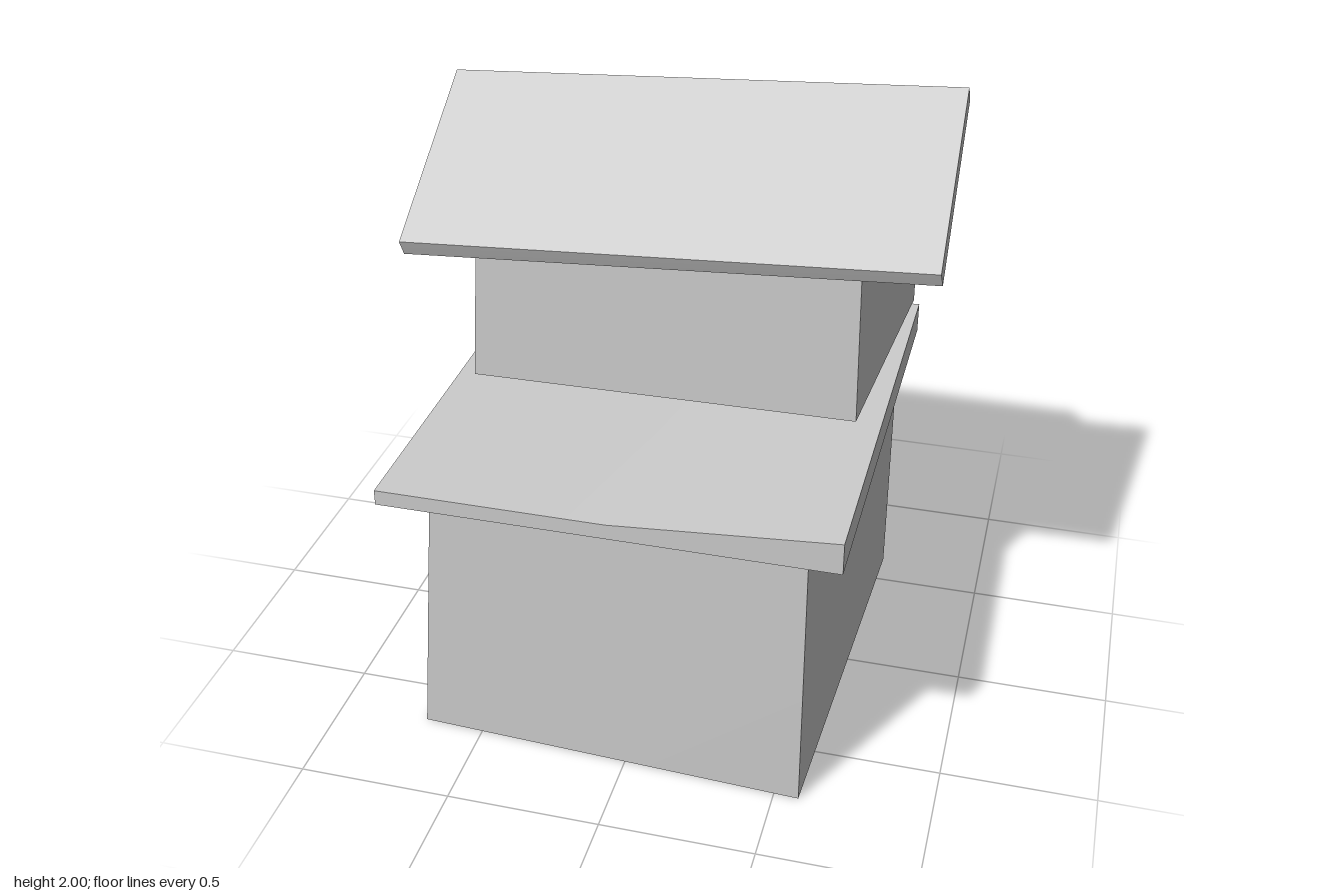
import * as THREE from 'three';
import { toCreasedNormals } from 'three/addons/utils/BufferGeometryUtils.js';

const material = new THREE.MeshStandardMaterial({ color: 0xcccccc });

// Lofts matching convex cross-sections from -x to +x and caps both ends.
// Each section runs front-bottom, back-bottom, back-top ... front-top.
function loft(name, sections, crease = 0.3) {
  const n = sections[0].length;
  const pos = [];
  const tri = (...corners) => corners.forEach((c) => pos.push(...c));
  for (let s = 0; s < sections.length - 1; s++) {
    const l = sections[s], r = sections[s + 1];
    for (let i = 0; i < n; i++) {
      const j = (i + 1) % n;
      tri(l[i], l[j], r[i]);
      tri(r[i], l[j], r[j]);
    }
  }
  const first = sections[0], last = sections[sections.length - 1];
  for (let i = 1; i < n - 1; i++) {
    tri(first[0], first[i + 1], first[i]);
    tri(last[0], last[i], last[i + 1]);
  }
  const geometry = new THREE.BufferGeometry();
  geometry.setAttribute('position', new THREE.Float32BufferAttribute(pos, 3));
  const mesh = new THREE.Mesh(toCreasedNormals(geometry, crease), material);
  mesh.name = name;
  return mesh;
}

export function createModel() {
  const model = new THREE.Group();
  model.name = 'crookedHouse';

  // Ground floor: slightly turned block with a leaning left wall
  model.add(loft('lowerFloor', [
    [[-0.70, 0, 0.67], [-0.64, 0, -0.685], [-0.56, 0.935, -0.685], [-0.62, 0.935, 0.675]],
    [[0.58, 0, 0.73], [0.64, 0, -0.63], [0.64, 0.935, -0.63], [0.58, 0.935, 0.735]],
  ]));

  // Floor slab whose top bends upwards towards the right end
  const slabSection = (x, frontTop, backTop) => [
    [x, 0.935, 0.79], [x, 0.935, -0.745], [x, backTop, -0.745], [x, frontTop, 0.79],
  ];
  model.add(loft('floorSlab', [
    slabSection(-0.75, 0.985, 1.005),
    slabSection(-0.02, 0.985, 1.005),
    slabSection(0.69, 1.04, 1.04),
  ]));

  // Upper floor: gabled block, with a soft bend from back wall to back slope
  model.add(loft('upperFloor', [
    [[-0.68, 1.02, 0.095], [-0.615, 1.02, -0.785], [-0.585, 1.545, -0.785],
      [-0.55, 1.845, -0.44], [-0.645, 1.61, 0.085]],
    [[0.61, 1.05, 0.13], [0.67, 1.055, -0.745], [0.665, 1.57, -0.75],
      [0.655, 1.875, -0.405], [0.60, 1.64, 0.12]],
  ], 1.0));

  // Tilted board covering the front slope
  model.add(loft('roofPanel', [
    [[-0.835, 1.51, 0.235], [-0.855, 1.855, -0.395], [-0.86, 1.905, -0.368], [-0.84, 1.56, 0.255]],
    [[0.855, 1.61, 0.235], [0.835, 1.95, -0.395], [0.832, 2.0, -0.368], [0.85, 1.655, 0.255]],
  ]));

  return model;
}
